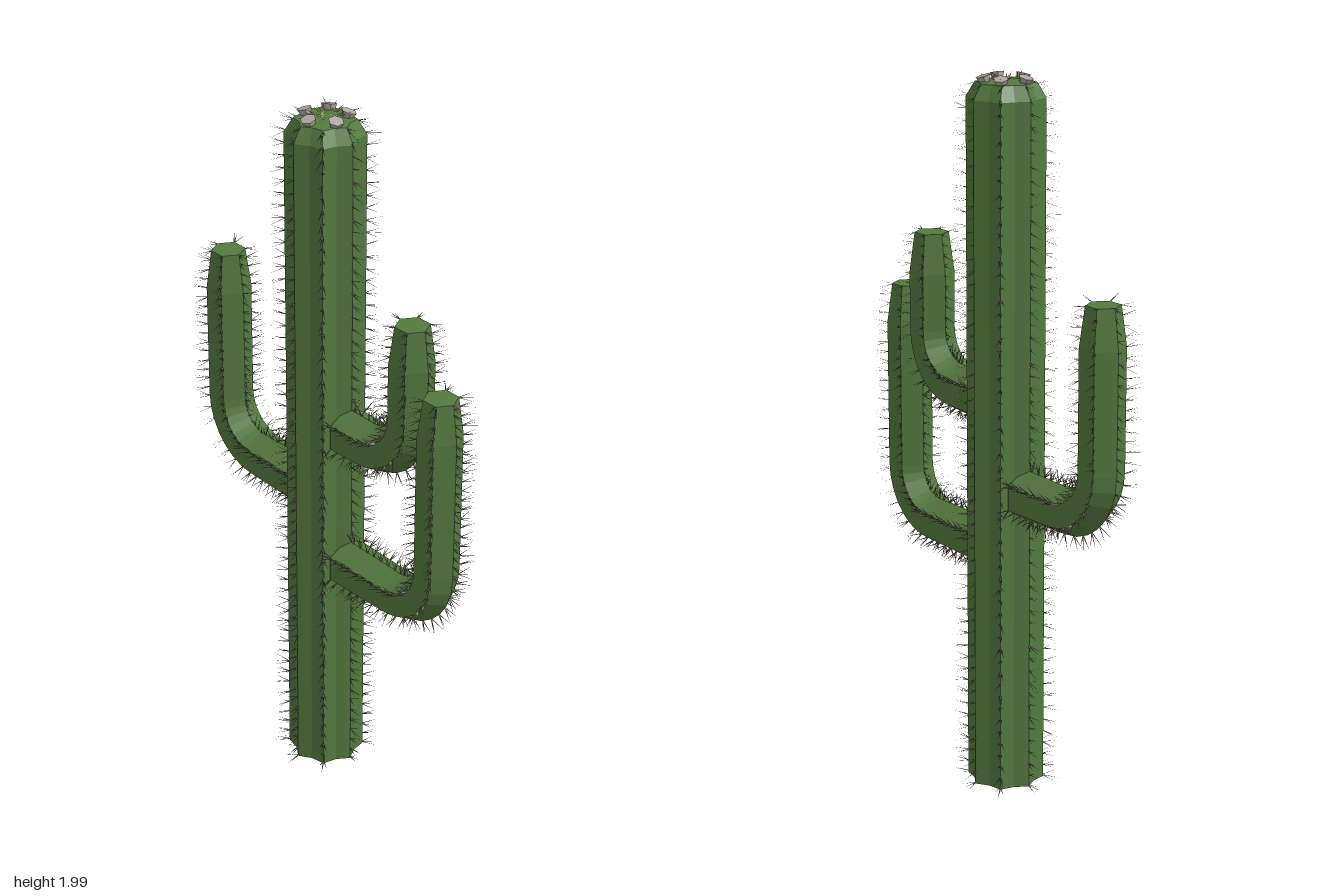
import * as THREE from 'three';

const green = new THREE.MeshStandardMaterial({ color: 0x55793f, flatShading: true });
const spineMat = new THREE.MeshStandardMaterial({ color: 0x625546, side: THREE.DoubleSide });
const crownMat = new THREE.MeshStandardMaterial({ color: 0x97a067, side: THREE.DoubleSide });
const budMat = new THREE.MeshStandardMaterial({ color: 0xb0a5a0, flatShading: true });

const TRUNK_X = -0.02;
const Z = new THREE.Vector3(0, 0, 1);

let seed = 7;
function rand() {
  seed = (seed * 16807) % 2147483647;
  return seed / 2147483647;
}
const jitter = (amount) => (rand() * 2 - 1) * amount;

function soupGeometry(positions) {
  const geo = new THREE.BufferGeometry();
  geo.setAttribute('position', new THREE.Float32BufferAttribute(positions, 3));
  geo.computeVertexNormals();
  return geo;
}

// Position and in-plane frame at fraction u of a path lying in the XY plane
function frameAt(path, u) {
  const p = path.getPoint(u);
  const t = path.getTangent(u);
  return { p, t, n: new THREE.Vector3(t.y, -t.x, 0) };
}

function radial(frame, angle) {
  return frame.n.clone().multiplyScalar(Math.cos(angle)).addScaledVector(Z, Math.sin(angle));
}

// Closed skin swept along a path; valley < 1 adds a groove between the ribs
function sweep(path, stations, radiusAt, ribs, valley, domeHeight = 0) {
  const count = valley < 1 ? ribs * 2 : ribs;
  const rings = stations.map((u) => {
    const f = frameAt(path, u);
    return Array.from({ length: count }, (_, j) => {
      const r = radiusAt(u) * (valley < 1 && j % 2 ? valley : 1);
      return f.p.clone().addScaledVector(radial(f, (j / count) * Math.PI * 2), r);
    });
  });
  const start = path.getPoint(0);
  const end = path.getPoint(1).addScaledVector(path.getTangent(1), domeHeight);
  const out = [];
  const tri = (...corners) => corners.forEach((v) => out.push(v.x, v.y, v.z));
  const last = rings.length - 1;
  for (let j = 0; j < count; j++) {
    const k = (j + 1) % count;
    for (let i = 0; i < last; i++) {
      const a = rings[i], b = rings[i + 1];
      tri(a[j], b[j], a[k]);
      tri(a[k], b[j], b[k]);
    }
    tri(start, rings[0][j], rings[0][k]);
    tri(end, rings[last][k], rings[last][j]);
  }
  return soupGeometry(out);
}

// Thin flat needle, widest at its root
function addNeedle(out, root, dir, side, length, width) {
  const a = root.clone().addScaledVector(side, width / 2);
  const b = root.clone().addScaledVector(side, -width / 2);
  const c = root.clone().addScaledVector(dir, length);
  [a, b, c].forEach((v) => out.push(v.x, v.y, v.z));
}

// Clusters of needles set in rows along every rib
function spines(path, radiusAt, ribs, spacing) {
  const out = [];
  const rows = Math.round(path.getLength() / spacing);
  for (let i = 0; i <= rows; i++) {
    const u = Math.min(0.998, Math.max(0.002, i / rows));
    const f = frameAt(path, u);
    for (let j = 0; j < ribs; j++) {
      const angle = (j / ribs) * Math.PI * 2;
      const root = f.p.clone().addScaledVector(radial(f, angle), radiusAt(u) - 0.003);
      for (let k = -1; k <= 1; k++) {
        const fan = angle + k * 0.3 + jitter(0.12);
        const dir = radial(f, fan).addScaledVector(f.t, jitter(0.45)).normalize();
        addNeedle(out, root, dir, radial(f, angle + Math.PI / 2), 0.036 + rand() * 0.012, 0.004);
      }
    }
  }
  return soupGeometry(out);
}

function addMesh(group, name, geometry, material) {
  const mesh = new THREE.Mesh(geometry, material);
  mesh.name = name;
  group.add(mesh);
  return mesh;
}

function makeTrunk() {
  const group = new THREE.Group();
  group.name = 'trunk';
  const bottom = 0.02, top = 1.975, height = top - bottom;
  const path = new THREE.LineCurve3(
    new THREE.Vector3(TRUNK_X, bottom, 0), new THREE.Vector3(TRUNK_X, top, 0));
  const shoulder = 1 - 0.04 / height;
  const radiusAt = (u) => 0.106 - 0.024 * Math.max(0, (u - shoulder) / (1 - shoulder));
  addMesh(group, 'trunkSkin', sweep(path, [0, 0.25, 0.5, 0.75, shoulder, 1], radiusAt, 8, 0.85, 0.006), green);
  addMesh(group, 'trunkSpines', spines(path, radiusAt, 8, 0.035), spineMat);
  return group;
}

// Arm leaving the trunk sideways, then bending upward
function makeArm(name, sign, reach, level, tip) {
  const group = new THREE.Group();
  group.name = name;
  const bend = 0.145, k = bend * 0.45;
  const x0 = TRUNK_X + sign * 0.088, x1 = sign * reach;
  const v = (x, y) => new THREE.Vector3(x, y, 0);
  const a = v(x1 - sign * bend, level), b = v(x1, level + bend);
  const path = new THREE.CurvePath();
  path.add(new THREE.LineCurve3(v(x0, level), a));
  path.add(new THREE.CubicBezierCurve3(a, v(x1 - sign * k, level), v(x1, level + k), b));
  path.add(new THREE.LineCurve3(b, v(x1, tip)));

  const length = path.getLength();
  const [s0, s1] = path.getCurveLengths().map((d) => d / length);
  const radiusAt = (u) => {
    const body = 0.07 - 0.008 * THREE.MathUtils.smoothstep(u, 0, s1);
    const taper = Math.max(0, 1 - (1 - u) * length / 0.11);
    return body - 0.015 * taper;
  };
  const stations = [0];
  for (let i = 0; i <= 7; i++) stations.push(s0 + (s1 - s0) * i / 7);
  stations.push(1 - 0.11 / length, 1);
  addMesh(group, name + 'Skin', sweep(path, stations, radiusAt, 6, 1), green);
  addMesh(group, name + 'Spines', spines(path, radiusAt, 6, 0.028), spineMat);
  return group;
}

// Ring of pale buds and short needles on the trunk top
function makeCrown() {
  const group = new THREE.Group();
  group.name = 'crown';
  group.position.set(TRUNK_X, 1.975, 0);
  const budGeo = new THREE.CylinderGeometry(0.021, 0.012, 0.024, 6);
  for (let i = 0; i < 5; i++) {
    const angle = 0.25 + (i / 5) * Math.PI * 2;
    const bud = addMesh(group, 'bud', budGeo, budMat);
    bud.position.set(Math.cos(angle) * 0.057, 0.004, Math.sin(angle) * 0.057);
    bud.rotation.set(Math.sin(angle) * 0.3, 0, -Math.cos(angle) * 0.3);
  }
  const out = [];
  for (let i = 0; i < 24; i++) {
    const angle = i * 2.4;
    const dir = new THREE.Vector3(Math.cos(angle), 0.25 + rand() * 0.2, Math.sin(angle)).normalize();
    const side = new THREE.Vector3(-Math.sin(angle), 0, Math.cos(angle));
    const root = new THREE.Vector3(Math.cos(angle), 0, Math.sin(angle)).multiplyScalar(0.045 * rand());
    root.y = 0.005;
    addNeedle(out, root, dir, side, 0.04, 0.006);
  }
  addMesh(group, 'crownNeedles', soupGeometry(out), crownMat);
  return group;
}

export function createModel() {
  const model = new THREE.Group();
  model.name = 'cactus';
  model.add(
    makeTrunk(),
    makeCrown(),
    makeArm('rightArm', -1, 0.425, 0.873, 1.46),
    makeArm('leftUpperArm', 1, 0.315, 1.105, 1.52),
    makeArm('leftLowerArm', 1, 0.425, 0.69, 1.355),
  );
  return model;
}
